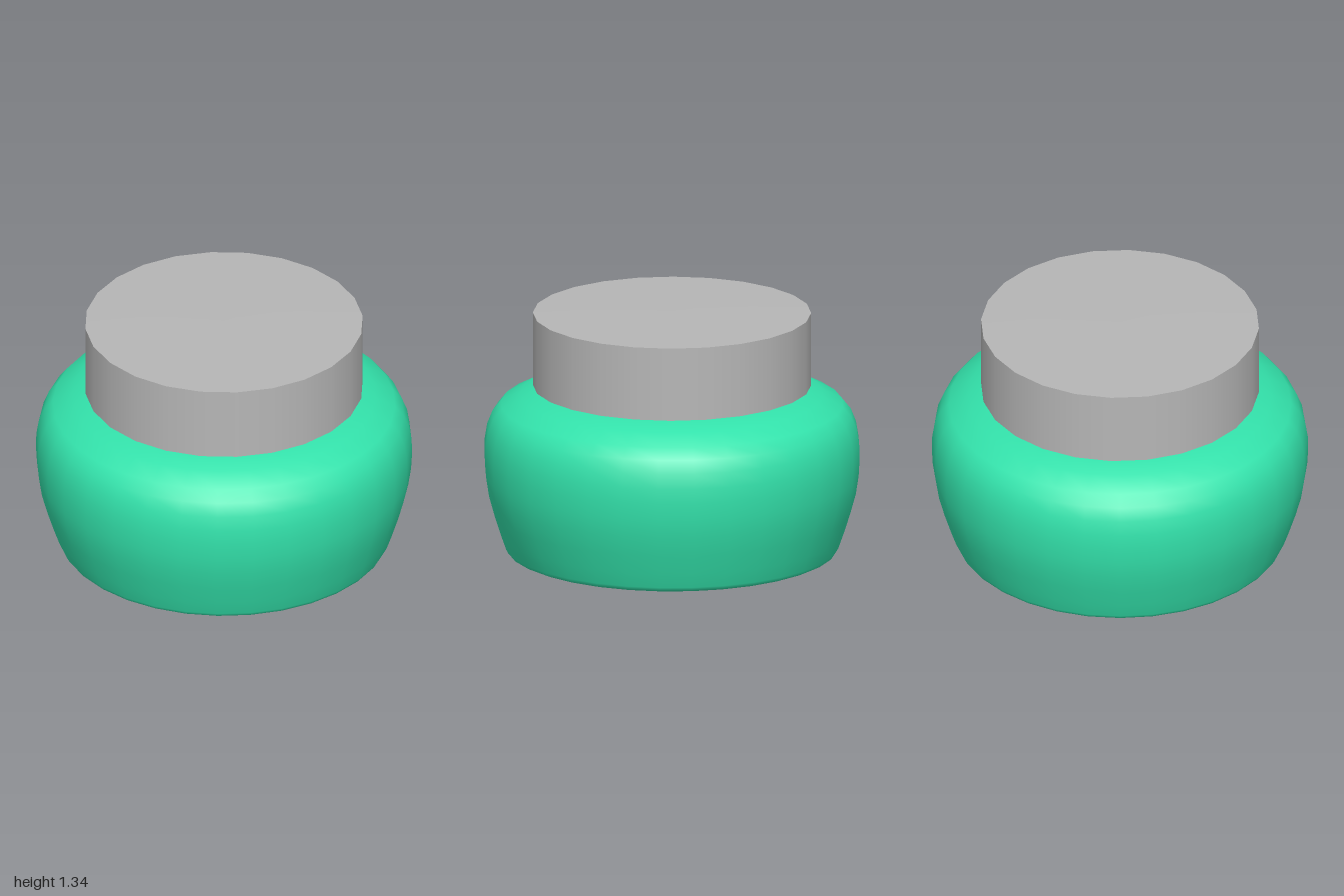
import * as THREE from 'three';

export function createModel() {
  const group = new THREE.Group();
  const green = new THREE.MeshStandardMaterial({ color: 0x33e2ab });
  green.name = 'mint green';
  const grey = new THREE.MeshStandardMaterial({ color: 0xb6b6b6 });
  grey.name = 'lid grey';

  // Revolve a profile, listed from the bottom up, around the y axis
  const turn = (name, profile, sides, material) => {
    const points = profile.map(([r, y]) => new THREE.Vector2(r, y));
    const mesh = new THREE.Mesh(new THREE.LatheGeometry(points, sides), material);
    mesh.name = name;
    group.add(mesh);
  };

  // Rounded jar wall with its shoulder closing in under the lid
  turn('jarBody', [
    [0.855, 0.022], [0.877, 0.032], [0.887, 0.05], [0.915, 0.13], [0.95, 0.24],
    [0.98, 0.35], [0.995, 0.45], [1, 0.54], [0.998, 0.62], [0.985, 0.7],
    [0.957, 0.77], [0.91, 0.828], [0.805, 0.882], [0.7, 0.914], [0.58, 0.925], [0, 0.927],
  ], 32, green);

  // Almost flat underside
  turn('jarBase', [[0, 0], [0.5, 0.01], [0.855, 0.022]], 32, green);

  // Lid: wall and closing discs kept separate for sharp rims
  turn('lidWall', [[0.74, 0.93], [0.74, 1.327]], 24, grey);
  turn('lidTop', [[0.74, 1.327], [0.45, 1.333], [0, 1.335]], 24, grey);
  turn('lidUnderside', [[0, 0.93], [0.74, 0.93]], 24, grey);

  return group;
}
